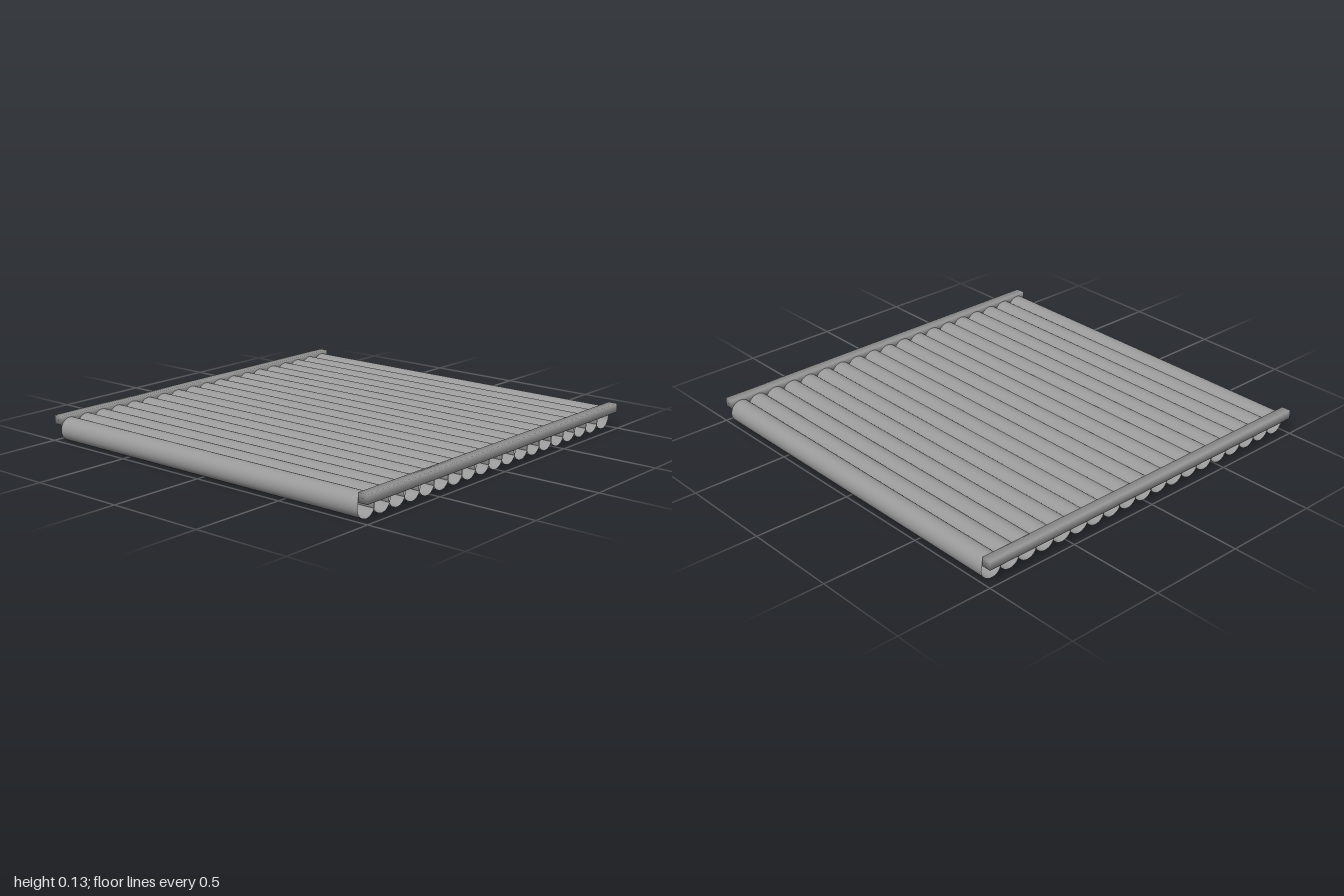
import * as THREE from 'three';
import { mergeVertices } from 'three/addons/utils/BufferGeometryUtils.js';

export function createModel() {
  const model = new THREE.Group();
  const railMaterial = new THREE.MeshStandardMaterial({ color: 0x999999 });
  const rollerMaterial = new THREE.MeshStandardMaterial({ color: 0x999999, side: THREE.DoubleSide });

  // Row of hollow, open-ended rollers lying along x
  const count = 19, radius = 0.0585, length = 1.89;
  const rollerGeometry = new THREE.CylinderGeometry(radius, radius, length, 32, 1, true);
  rollerGeometry.rotateZ(Math.PI / 2);
  const reach = 1 - radius;
  for (let i = 0; i < count; i++) {
    const roller = new THREE.Mesh(rollerGeometry, rollerMaterial);
    roller.name = `roller${i + 1}`;
    roller.position.set(0, radius, -reach + (2 * reach * i) / (count - 1));
    model.add(roller);
  }

  // Side rails along the upper half of the roller ends, shaded softly across their edges
  const box = new THREE.BoxGeometry(0.05, 0.045, 1.99);
  box.deleteAttribute('normal');
  box.deleteAttribute('uv');
  const railGeometry = mergeVertices(box);
  railGeometry.computeVertexNormals();
  for (const [name, side] of [['leftRail', 1], ['rightRail', -1]]) {
    const rail = new THREE.Mesh(railGeometry, railMaterial);
    rail.name = name;
    rail.position.set(side * 0.97, 0.107, 0);
    model.add(rail);
  }
  return model;
}
